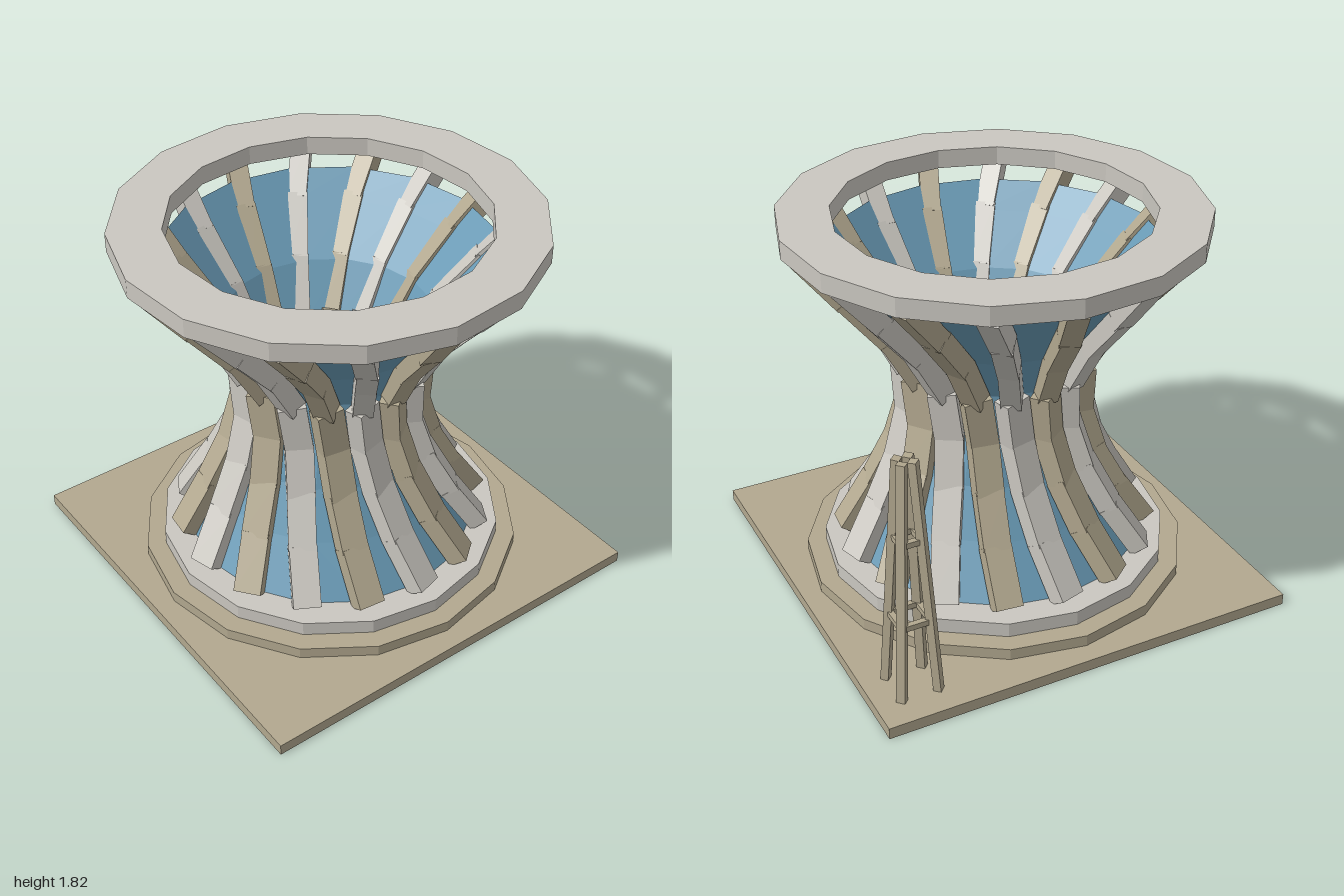
import * as THREE from 'three';

const SIDES = 16, STEP = (Math.PI * 2) / SIDES;
const Y0 = 0.2, DY = 0.22, TWIST = -0.49;
// radius of the rib centre line at each joint, from foot to rim
const RADII = [0.715, 0.575, 0.46, 0.395, 0.405, 0.525, 0.705, 0.885];
const UP = new THREE.Vector3(0, 1, 0);

export function createModel() {
  const model = new THREE.Group();
  model.name = 'flaredTower';
  const mat = (name, color, extra = {}) =>
    new THREE.MeshStandardMaterial({ name, color, flatShading: true, ...extra });
  const grey = mat('paleConcrete', 0xcac7c0);
  const tan = mat('tanStone', 0xb2a88f);
  const blue = mat('blueGlass', 0x699ab5, { side: THREE.DoubleSide });

  const add = (parent, name, geometry, material, y = 0) => {
    const mesh = new THREE.Mesh(geometry, material);
    mesh.name = name;
    mesh.position.y = y;
    parent.add(mesh);
    return mesh;
  };

  // box running from a to b, its depth axis turned toward "out"
  const beam = (parent, name, a, b, width, depth, out, material, extra = 0) => {
    const dir = b.clone().sub(a);
    const length = dir.length() + extra;
    dir.normalize();
    const side = new THREE.Vector3().crossVectors(dir, out).normalize();
    const front = new THREE.Vector3().crossVectors(side, dir);
    const mesh = add(parent, name, new THREE.BoxGeometry(width, length, depth), material);
    mesh.quaternion.setFromRotationMatrix(new THREE.Matrix4().makeBasis(side, dir, front));
    mesh.position.copy(a).add(b).multiplyScalar(0.5);
  };

  // stepped base
  add(model, 'groundSlab', new THREE.BoxGeometry(2, 0.055, 2), tan, 0.0275);
  add(model, 'lowerTier', new THREE.CylinderGeometry(0.905, 0.905, 0.055, SIDES), tan, 0.0825);
  add(model, 'upperTier', new THREE.CylinderGeometry(0.815, 0.815, 0.07, SIDES), grey, 0.145);

  // glass shell just inside the ribs, open at the top
  const profile = [new THREE.Vector2(RADII[0] - 0.03, 0.18)];
  for (let i = 1; i < 7; i++) {
    profile.push(new THREE.Vector2(RADII[i] - (i < 5 ? 0.035 : 0.043), Y0 + DY * i));
  }
  profile.push(new THREE.Vector2(0.76, 1.64));
  add(model, 'glassShell', new THREE.LatheGeometry(profile, SIDES), blue);

  // twisting ribs, wide below the waist and slender above it
  const joint = (rib, k) => {
    const a = rib * STEP + (TWIST * k) / 7;
    return new THREE.Vector3(RADII[k] * Math.sin(a), Y0 + DY * k, RADII[k] * Math.cos(a));
  };
  for (let r = 0; r < SIDES; r++) {
    const rib = new THREE.Group();
    rib.name = 'rib' + (r + 1);
    model.add(rib);
    // the upright waist segment faces the same way as the one below it
    const waistOut = joint(r, 2).sub(joint(r, 3)).setY(0);
    for (let k = 0; k < 7; k++) {
      const low = k < 4;
      beam(rib, low ? 'lowerSegment' : 'upperSegment', joint(r, k), joint(r, k + 1),
        low ? 0.128 : 0.092, low ? 0.09 : 0.095, k === 3 ? waistOut : UP,
        r % 2 ? tan : grey, 0.016);
    }
  }

  // flat ring on top of the ribs
  const polygon = (target, radius) => {
    const pts = [];
    for (let i = 0; i < SIDES; i++) {
      const a = i * STEP + TWIST;
      pts.push(new THREE.Vector2(radius * Math.sin(a), -radius * Math.cos(a)));
    }
    return target.setFromPoints(pts);
  };
  const ringShape = polygon(new THREE.Shape(), 0.957);
  ringShape.holes.push(polygon(new THREE.Path(), 0.717));
  const ring = new THREE.ExtrudeGeometry(ringShape, { depth: 0.088, bevelEnabled: false });
  ring.rotateX(-Math.PI / 2);
  add(model, 'topRing', ring, grey, 1.73);

  // small four-legged tower in the back corner
  const mast = new THREE.Group();
  mast.name = 'cornerMast';
  mast.position.set(0.795, 0, -0.78);
  model.add(mast);
  const corners = [[1, 1], [1, -1], [-1, -1], [-1, 1]];
  const legPoint = ([sx, sz], y) => {
    const s = THREE.MathUtils.mapLinear(y, 0.055, 1.195, 0.086, 0.025);
    return new THREE.Vector3(sx * s, y, sz * s);
  };
  corners.forEach((c, i) => {
    beam(mast, 'mastLeg', legPoint(c, 0.055), legPoint(c, 1.195), 0.04, 0.036, UP, tan);
    const next = corners[(i + 1) % 4];
    for (const y of [0.42, 0.82]) {
      beam(mast, 'crossBar', legPoint(c, y), legPoint(next, y), 0.026, 0.026, UP, tan);
    }
  });

  return model;
}
